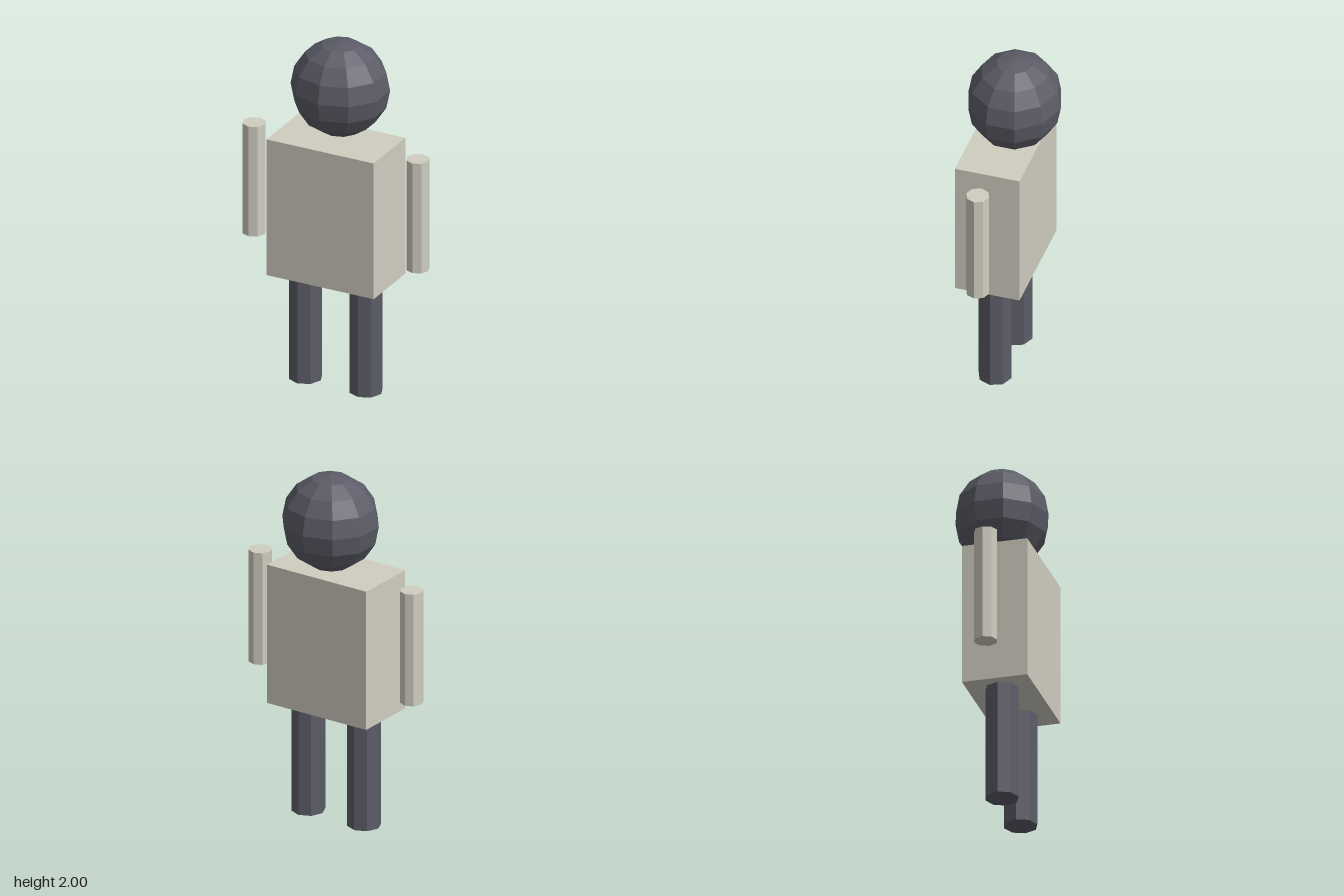
import * as THREE from 'three';

export function createModel() {
  const model = new THREE.Group();
  const pale = new THREE.MeshStandardMaterial({ color: 0xd0cdc0, flatShading: true });
  const dark = new THREE.MeshStandardMaterial({ color: 0x5c5c68, flatShading: true });

  const add = (name, geometry, material, x, y, z) => {
    const mesh = new THREE.Mesh(geometry, material);
    mesh.name = name;
    mesh.position.set(x, y, z);
    model.add(mesh);
  };

  // Ten-sided head with a corner facing front, slightly flattened in depth
  const head = new THREE.SphereGeometry(0.27, 10, 8).rotateY(Math.PI / 2).scale(1.005, 1, 0.955);
  add('head', head, dark, 0, 1.73, 0);

  // Box torso
  add('torso', new THREE.BoxGeometry(0.646, 0.8, 0.362), pale, 0, 1.045, 0.051);

  // Octagonal arms and legs, mirrored
  const arm = new THREE.CylinderGeometry(0.064, 0.064, 0.646, 8);
  const leg = new THREE.CylinderGeometry(0.092, 0.092, 0.645, 8);
  for (const [side, s] of [['left', 1], ['right', -1]]) {
    add(side + 'Arm', arm, pale, s * 0.493, 1.11, 0.05);
    add(side + 'Leg', leg, dark, s * 0.182, 0.3225, 0.052);
  }
  return model;
}
